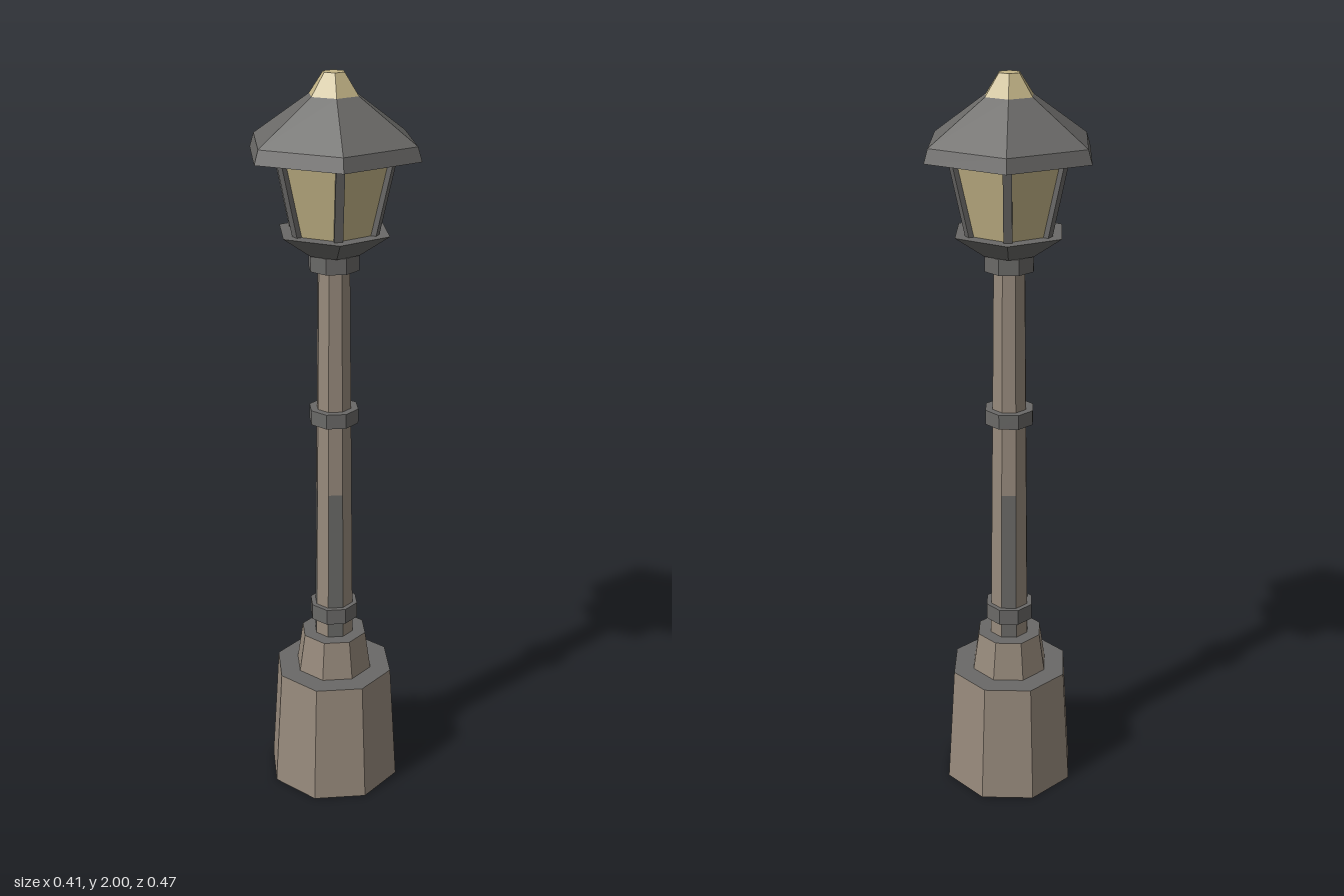
import * as THREE from 'three';

const mat = (name, hex) => {
  const m = new THREE.MeshStandardMaterial({ color: hex });
  m.name = name;
  return m;
};

export function createModel() {
  const stone = mat('stone', 0x978a7c);
  const metal = mat('dark metal', 0x6a6967);
  const gold = mat('pale gold', 0xc3b487);
  const lamp = new THREE.Group();
  lamp.name = 'streetLamp';

  // Faceted prism; radii are measured to the middle of the flats
  function prism(name, sides, y0, y1, r0, r1, material, edit) {
    const k = 1 / Math.cos(Math.PI / sides);
    const start = sides === 8 ? Math.PI / 8 : 0;
    let geo = new THREE.CylinderGeometry(r1 * k, r0 * k, y1 - y0, sides, 1, false, start);
    if (edit) edit(geo);
    geo = geo.toNonIndexed();
    geo.computeVertexNormals();
    const mesh = new THREE.Mesh(geo, material);
    mesh.name = name;
    mesh.position.y = (y0 + y1) / 2;
    lamp.add(mesh);
    return mesh;
  }

  // Stepped octagonal base with metal ledges
  prism('baseLower', 8, 0, 0.345, 0.174, 0.154, [stone, metal, stone]);
  prism('baseUpper', 8, 0.345, 0.455, 0.1, 0.085, [stone, metal, stone]);

  // Post: the lower part has metal on the four axis-aligned faces
  const postR = y => 0.051 - 0.011 * (y - 0.455) / 1.055;
  prism('postLower', 8, 0.455, 0.89, postR(0.455), postR(0.89), [stone, metal], geo => {
    geo.clearGroups();
    for (let i = 0; i < 8; i++) geo.addGroup(i * 6, 6, i % 2);
  });
  prism('postUpper', 8, 0.89, 1.51, postR(0.89), postR(1.51), stone);

  // Collars around the post
  for (const [y0, y1] of [[0.502, 0.547], [1.09, 1.13], [1.508, 1.55]])
    prism('collar', 8, y0, y1, 0.0625, 0.0625, metal);

  // Hexagonal lantern
  prism('lanternCup', 6, 1.55, 1.607, 0.062, 0.133, metal);
  prism('glass', 6, 1.605, 1.8, 0.097, 0.137, gold);

  // Bars along the six corners of the glass
  for (let i = 0; i < 6; i++) {
    const a = i * Math.PI / 3;
    const dir = new THREE.Vector3(Math.sin(a), 0, Math.cos(a));
    const p0 = dir.clone().multiplyScalar(0.111).setY(1.603);
    const p1 = dir.clone().multiplyScalar(0.157).setY(1.802);
    const bar = new THREE.Mesh(new THREE.BoxGeometry(0.022, p0.distanceTo(p1), 0.016), metal);
    bar.name = 'lanternBar';
    bar.position.copy(p0).add(p1).multiplyScalar(0.5);
    bar.rotation.set(Math.atan2(0.046, 0.199), a, 0, 'YXZ');
    lamp.add(bar);
  }

  // Roof and finial
  prism('eave', 6, 1.8, 1.836, 0.203, 0.193, metal);
  prism('roof', 6, 1.836, 1.945, 0.193, 0.058, metal);
  prism('finial', 6, 1.945, 2, 0.058, 0.025, gold);

  return lamp;
}
